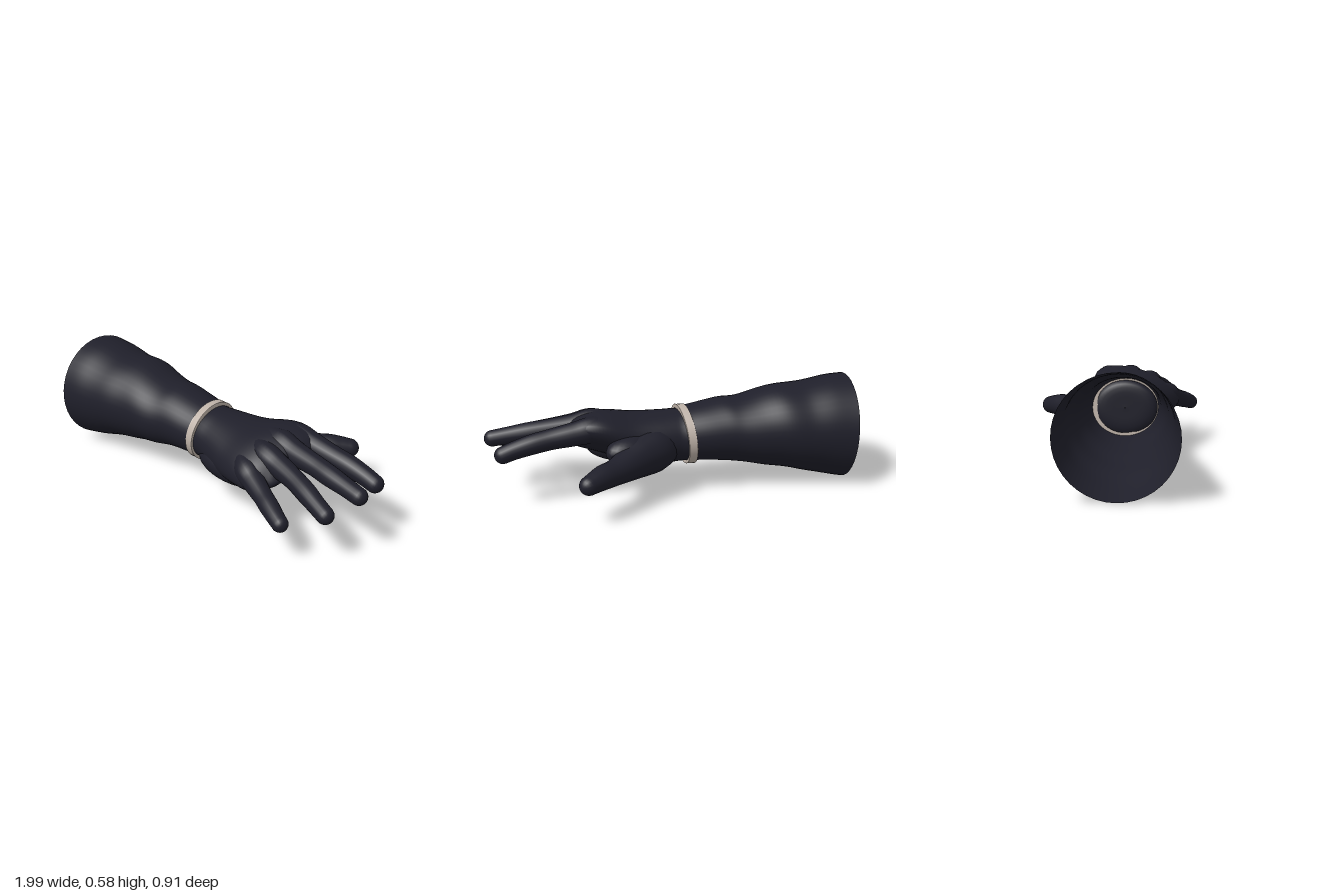
import * as THREE from 'three';

const cloth = new THREE.MeshStandardMaterial({ color: 0x1f1f2a, side: THREE.DoubleSide });
cloth.name = 'dark navy cloth';
const ivory = new THREE.MeshStandardMaterial({ color: 0xbfb3a9 });
ivory.name = 'pale band';

// Smooth interpolation through rows of numbers, three columns per curve
function sampler(rows) {
  const curves = [];
  for (let c = 0; c < rows[0].length; c += 3) {
    const pts = rows.map(r => new THREE.Vector3(r[c], r[c + 1] || 0, r[c + 2] || 0));
    curves.push(new THREE.CatmullRomCurve3(pts, false, 'catmullrom', 0.5));
  }
  return t => curves.flatMap(c => c.getPoint(t).toArray());
}

// Closed tube skin: point(t, angle) gives a position on ring t
function skin(point, rings, sides) {
  const pos = [], idx = [];
  for (let i = 0; i <= rings; i++) {
    for (let j = 0; j < sides; j++) {
      pos.push(...point(i / rings, j / sides * Math.PI * 2));
      if (i === rings) continue;
      const a = i * sides + j, b = i * sides + (j + 1) % sides;
      idx.push(a, a + sides, b, b, a + sides, b + sides);
    }
  }
  const g = new THREE.BufferGeometry();
  g.setAttribute('position', new THREE.Float32BufferAttribute(pos, 3));
  g.setIndex(idx);
  g.computeVertexNormals();
  return g;
}

// Loft along x. Rows: x, yc, zc, ry, rz, droop towards +z, lean by y, lean by z
function loft(rows, rings, sides, ripple = () => 0) {
  const at = sampler(rows);
  return skin((t, a) => {
    const [x, yc, zc, ry, rz, droop, leanY = 0, leanZ = 0] = at(t);
    const s = Math.sin(a), c = Math.cos(a), k = 1 + ripple(x, a);
    return [x + leanY * s + leanZ * c, yc + ry * k * s - droop * c, zc + rz * k * c];
  }, rings, sides);
}

// Digit along a path. Rows: x, y, z, radius; ends in a rounded tip
function digit(rows) {
  const path = new THREE.CatmullRomCurve3(rows.map(r => new THREE.Vector3(r[0], r[1], r[2])), false, 'catmullrom', 0.5);
  const at = sampler(rows), up = new THREE.Vector3(0, 1, 0);
  const tipRadius = rows[rows.length - 1][3];
  const body = 0.85;
  return skin((t, a) => {
    const u = Math.min(t / body, 1);
    const p = path.getPoint(u), T = path.getTangent(u);
    let r = at(u)[3];
    if (t > body) {
      const q = Math.min((t - body) / (1 - body), 1) * Math.PI / 2;
      p.addScaledVector(T, tipRadius * Math.sin(q));
      r = tipRadius * Math.max(Math.cos(q), 0.01);
    }
    const N = T.clone().cross(up).normalize(), B = N.clone().cross(T);
    return p.addScaledVector(N, r * Math.cos(a)).addScaledVector(B, r * Math.sin(a)).toArray();
  }, 48, 18);
}

export function createModel() {
  const model = new THREE.Group();
  const add = (name, geometry, material = cloth) => {
    const m = new THREE.Mesh(geometry, material);
    m.name = name;
    model.add(m);
    return m;
  };

  // Open flared sleeve with faint folds
  add('sleeve', loft([
    [-0.985, 0.29, 0.118, 0.291, 0.289, 0, -0.014, 0.01],
    [-0.88, 0.297, 0.115, 0.277, 0.277, 0, -0.012, 0.008],
    [-0.75, 0.3, 0.108, 0.248, 0.263, 0, -0.005, 0.01],
    [-0.6, 0.312, 0.1, 0.228, 0.244, 0, 0, 0.01],
    [-0.4, 0.305, 0.098, 0.186, 0.212, 0, 0.005, 0.015],
    [-0.28, 0.31, 0.09, 0.172, 0.192, 0, 0.01, 0.02],
    [-0.09, 0.297, 0.085, 0.148, 0.17, 0, 0.017, 0.02],
  ], 48, 40, (x, a) => 0.008 * Math.sin(x * 26 + a * 2) * Math.sin((x + 1) * 3.3)));

  // Wrist band, leaning with the sleeve end
  const band = (x, grow) => [x, 0.294, 0.084, 0.15 + grow, 0.165 + grow, 0, 0.017, 0.02];
  add('wristBand', loft([
    band(-0.106, -0.02), band(-0.108, 0.01), band(-0.1, 0.012),
    band(-0.07, 0.012), band(-0.062, 0.01), band(-0.064, -0.02),
  ], 25, 48), ivory);

  // Wrist, palm and back of the hand
  add('palm', loft([
    [-0.13, 0.297, 0.085, 0.002, 0.002, 0],
    [-0.12, 0.297, 0.085, 0.13, 0.155, 0],
    [-0.04, 0.292, 0.083, 0.142, 0.167, 0],
    [0.05, 0.288, 0.083, 0.145, 0.182, 0.01],
    [0.2, 0.294, 0.094, 0.14, 0.21, 0.03],
    [0.35, 0.324, 0.104, 0.125, 0.238, 0.055],
    [0.44, 0.332, 0.108, 0.106, 0.236, 0.065],
    [0.51, 0.335, 0.092, 0.078, 0.192, 0.062],
    [0.545, 0.338, 0.088, 0.035, 0.16, 0.06],
    [0.56, 0.338, 0.085, 0.003, 0.1, 0.035],
  ], 48, 40));

  // Fleshy heel of the hand, blending into the palm
  const heel = add('palmHeel', new THREE.SphereGeometry(1, 32, 20));
  heel.scale.set(0.25, 0.1, 0.135);
  heel.position.set(0.2, 0.232, 0.165);

  // Fingers, each starting as a tendon under the back of the hand
  const fingers = {
    indexFinger: [[0.1, 0.385, 0.03, 0.015], [0.28, 0.404, -0.02, 0.028], [0.41, 0.392, -0.05, 0.068],
      [0.52, 0.372, -0.06, 0.064], [0.64, 0.353, -0.068, 0.056], [0.74, 0.334, -0.078, 0.054],
      [0.83, 0.31, -0.086, 0.049], [0.893, 0.288, -0.091, 0.046]],
    middleFinger: [[0.1, 0.39, 0.07, 0.015], [0.28, 0.414, 0.07, 0.028], [0.41, 0.398, 0.07, 0.067],
      [0.52, 0.376, 0.073, 0.062], [0.66, 0.36, 0.079, 0.054], [0.76, 0.346, 0.087, 0.053],
      [0.86, 0.332, 0.094, 0.047], [0.948, 0.318, 0.1, 0.044]],
    ringFinger: [[0.1, 0.385, 0.11, 0.015], [0.28, 0.392, 0.14, 0.028], [0.41, 0.368, 0.176, 0.066],
      [0.52, 0.345, 0.188, 0.06], [0.64, 0.325, 0.209, 0.052], [0.74, 0.302, 0.232, 0.051],
      [0.82, 0.28, 0.252, 0.046], [0.888, 0.259, 0.266, 0.044]],
    littleFinger: [[0.1, 0.355, 0.15, 0.015], [0.26, 0.35, 0.21, 0.03], [0.38, 0.308, 0.274, 0.064],
      [0.46, 0.28, 0.304, 0.058], [0.56, 0.255, 0.342, 0.049], [0.63, 0.238, 0.37, 0.048],
      [0.69, 0.222, 0.394, 0.044], [0.737, 0.208, 0.41, 0.041]],
  };
  for (const [name, rows] of Object.entries(fingers)) add(name, digit(rows));

  // Thumb, with its thick base merging into the palm
  add('thumb', digit([
    [0.03, 0.275, 0.03, 0.11], [0.11, 0.255, -0.035, 0.125], [0.2, 0.242, -0.12, 0.108],
    [0.27, 0.232, -0.2, 0.085], [0.34, 0.226, -0.275, 0.068], [0.4, 0.226, -0.33, 0.064],
    [0.44, 0.222, -0.37, 0.057], [0.478, 0.216, -0.406, 0.05],
  ]));

  // Web between thumb and index finger
  const web = add('thumbWeb', new THREE.SphereGeometry(1, 24, 16));
  web.scale.set(0.15, 0.075, 0.09);
  web.position.set(0.23, 0.285, -0.1);
  web.rotation.y = 0.5;

  return model;
}
